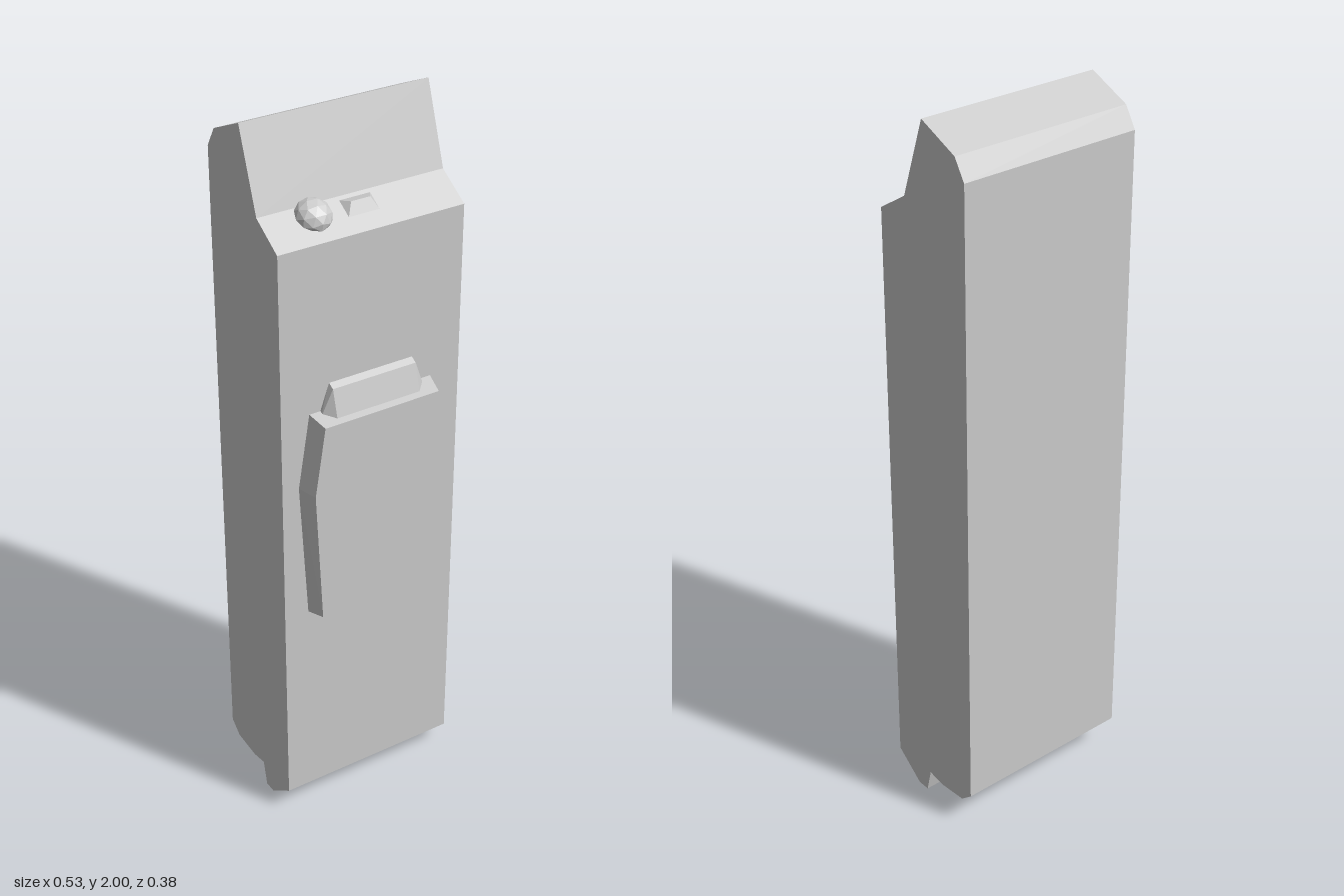
import * as THREE from 'three';
import { ConvexGeometry } from 'three/addons/geometries/ConvexGeometry.js';

const material = new THREE.MeshStandardMaterial({ color: 0xcccccc, flatShading: true });

function part(name, geometry) {
  const mesh = new THREE.Mesh(geometry, material);
  mesh.name = name;
  return mesh;
}

// Convex solid from [half width, y, z] points mirrored across its own centre line
function mirroredHull(cx, points) {
  return new ConvexGeometry(points.flatMap(([x, y, z]) =>
    [1, -1].map((s) => new THREE.Vector3(cx + s * x, y, z))));
}

export function createModel() {
  const model = new THREE.Group();
  model.name = 'handheldDevice';

  // Casing: side profile as [z, y], extruded across the width
  const profile = [
    [0.13, 0.07], [0.042, 0], [0.006, 0], [-0.01, 0.07], [-0.062, 0.06], [-0.15, 0.067],
    [-0.188, 0.1], [-0.188, 1.89], [-0.155, 1.945], [-0.035, 2], [0.037, 1.79], [0.13, 1.732],
  ];
  const width = 0.527;
  const shape = new THREE.Shape(profile.map(([z, y]) => new THREE.Vector2(-z, y)));
  const casing = new THREE.ExtrudeGeometry(shape, { depth: width, bevelEnabled: false });
  casing.translate(0, 0, -width / 2).rotateY(Math.PI / 2);
  model.add(part('casing', casing));

  // Raised front plate with chamfered edges
  model.add(part('frontPlate', mirroredHull(-0.003, [
    [0.18, 1.278, 0.128], [0.213, 1.07, 0.128], [0.19, 0.673, 0.128],
    [0.168, 1.263, 0.187], [0.198, 1.07, 0.187], [0.179, 0.687, 0.187],
  ])));

  // Bevelled tab on top of the plate
  model.add(part('plateTab', mirroredHull(-0.003, [
    [0.122, 1.351, 0.128], [0.122, 1.341, 0.148], [0.122, 1.265, 0.169],
    [0.152, 1.265, 0.128], [0.152, 1.265, 0.14],
  ])));

  // Faceted knob on the sloping shoulder
  const knob = part('knob', new THREE.IcosahedronGeometry(0.048, 1));
  knob.scale.y = 0.8;
  knob.rotation.x = Math.atan2(0.093, 0.058) - Math.PI / 2 + Math.atan2(0.058, 0.093) * 2;
  knob.position.set(-0.125, 1.772, 0.063);
  model.add(knob);

  // Wedge-shaped switch beside the knob
  model.add(part('switch', mirroredHull(0.001, [
    [0.044, 1.784, 0.046], [0.044, 1.756, 0.09], [0.027, 1.788, 0.073],
    [0.044, 1.74, 0.046],
  ])));

  return model;
}
